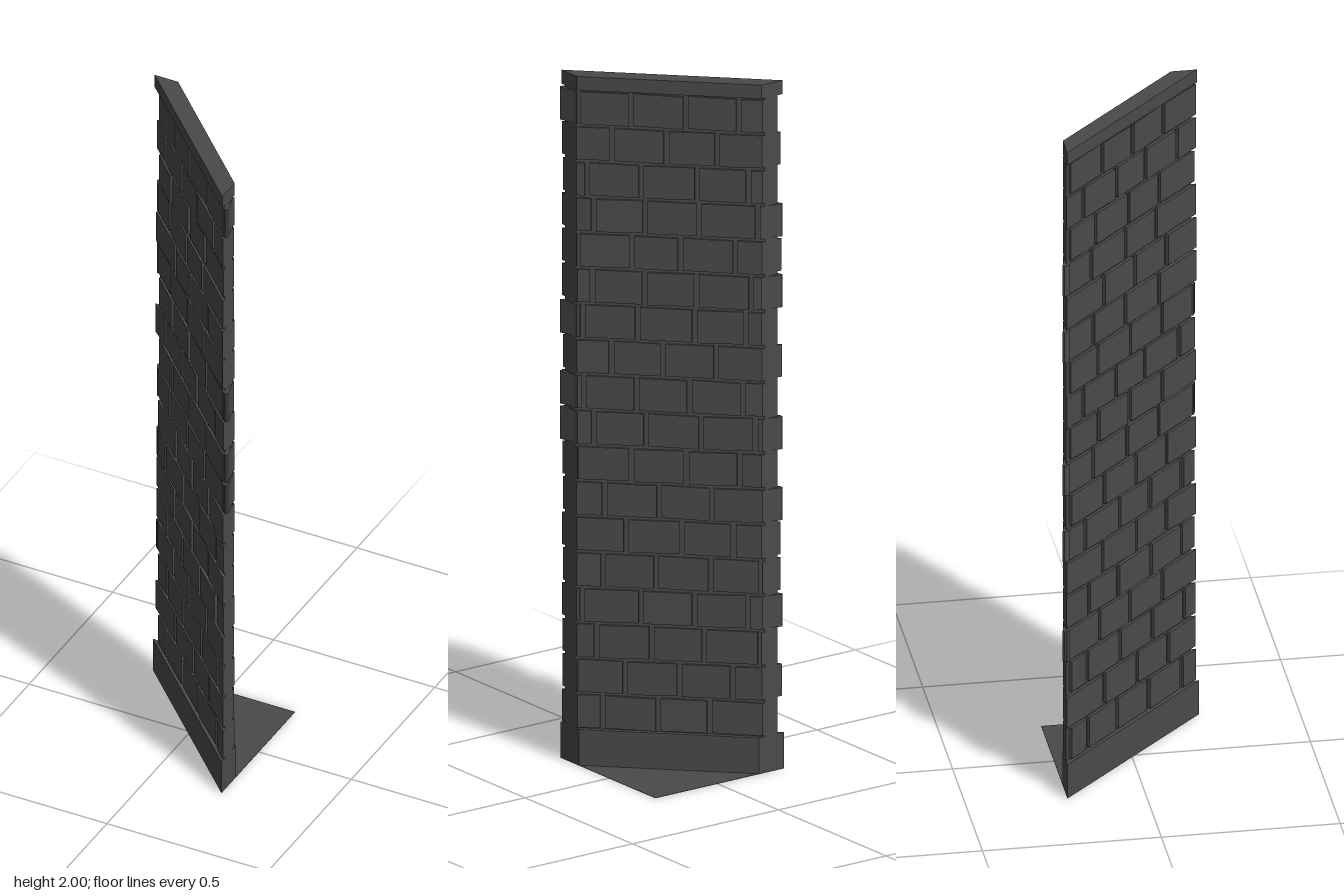
import * as THREE from 'three';

const XMAX = 0.213, ZMIN = -0.217;      // planes that cut the two wall ends
const BASE_H = 0.105, CAP_Y = 1.96, ROWS = 18;
const PITCH = (CAP_Y - BASE_H) / ROWS;

const stone = new THREE.MeshStandardMaterial({ color: 0x4a4a4a });
stone.name = 'dark stone';

// Small seeded generator, returns -1..1
let seed = 7;
const rnd = () => {
  seed = (seed * 16807) % 2147483647;
  return (seed / 2147483647) * 2 - 1;
};

// Upright prism from a footprint of [x, z] points
function prism(points, y0, y1, name) {
  const shape = new THREE.Shape(points.map(([x, z]) => new THREE.Vector2(x, -z)));
  const geo = new THREE.ExtrudeGeometry(shape, { depth: y1 - y0, bevelEnabled: false });
  geo.rotateX(-Math.PI / 2).translate(0, y0, 0);
  const mesh = new THREE.Mesh(geo, stone);
  mesh.name = name;
  return mesh;
}

// Point on the diagonal: s runs along the wall, d = z - x is the face offset
const at = (s, d) => [s - d / 2, s + d / 2];
const maxS = d => XMAX + d / 2;
const minS = d => ZMIN - d / 2;

// Wall-long slab between two offsets, with mitred ends
const slab = (dIn, dOut, y0, y1, name) => prism(
  [at(maxS(dOut), dOut), at(maxS(dIn), dIn), at(minS(dIn), dIn), at(minS(dOut), dOut)], y0, y1, name);

// One brick, slightly tilted, its outer face a little uneven
function brick(s0, s1, dRoot, dFace, y, name) {
  const f0 = dFace + rnd() * 0.003, f1 = dFace + rnd() * 0.003;
  const clip = (s, d) => at(Math.min(maxS(d), Math.max(minS(d), s)), d);
  const mesh = prism([clip(s0, dRoot), clip(s1, dRoot), clip(s1, f1), clip(s0, f0)],
    y + 0.004, y + PITCH - 0.005, name);
  const pos = mesh.geometry.attributes.position, tilt = rnd() * 0.03, mid = (s0 + s1) / 2;
  for (let i = 0; i < pos.count; i++) {
    pos.setY(i, pos.getY(i) + tilt * ((pos.getX(i) + pos.getZ(i)) / 2 - mid));
  }
  mesh.geometry.computeVertexNormals();
  return mesh;
}

export function createModel() {
  const model = new THREE.Group();
  model.name = 'diagonalBrickWall';

  // Thin triangular floor behind the wall
  const corners = [[-0.228, ZMIN], [XMAX, ZMIN], [XMAX, 0.224]];
  model.add(prism(corners, 0, 0.001, 'floor'));

  // Plinth, core and coping
  model.add(slab(-0.075, 0.011, 0, BASE_H, 'plinth'));
  model.add(slab(-0.055, -0.011, BASE_H, CAP_Y, 'wallCore'));
  model.add(slab(-0.067, 0.006, CAP_Y, 2, 'coping'));

  // Joint position of every course, bottom to top
  const phases = [0.02, 0.08, 0.03, 0.06, 0.025, 0.08, 0.02, 0.075, 0.045,
    0.06, 0.01, 0.06, 0.045, 0.077, 0.04, 0.054, 0.01, 0.073];
  const LEN = 0.106, GAP = 0.005;
  const flushFront = [0, 2, 7, 9, 11, 15, 17];
  const sides = [
    { name: 'frontBrick', root: -0.02, face: 0.001, shift: 0.04, flush: flushFront },
    { name: 'backBrick', root: -0.046, face: -0.065, shift: 0, flush: [1, 4, 10, 13] },
  ];
  for (const side of sides) {
    const group = new THREE.Group();
    group.name = side.name + 's';
    for (let row = 0; row < ROWS; row++) {
      const y = BASE_H + row * PITCH;
      const lo = side.flush.includes(row) ? -0.207 : -0.24;
      const joints = [lo];
      for (let k = -3; k <= 3; k++) {
        const s = phases[row] + side.shift + k * LEN + rnd() * 0.006;
        if (s > -0.185 && s < 0.185) joints.push(s);
      }
      joints.push(0.24);
      for (let i = 0; i < joints.length - 1; i++) {
        group.add(brick(joints[i] + GAP, joints[i + 1] - GAP, side.root, side.face, y, side.name));
      }
    }
    model.add(group);
  }

  // Skewed end bricks that stick out of some courses
  const wedge = [[0.205, 0.155], [0.213, 0.159], [0.226, 0.209], [0.222, 0.214], [0.205, 0.207]];
  const mirrored = wedge.map(([x, z]) => [-z - 0.004, -x - 0.002]);
  const ends = [[wedge, [8, 9, 11, 17]], [mirrored, [3, 6, 8, 12, 14]]];
  for (const [points, rows] of ends) {
    for (const row of rows) {
      const y = BASE_H + row * PITCH;
      model.add(prism(points, y + 0.004, y + PITCH - 0.005, 'endBrick'));
    }
  }
  return model;
}
